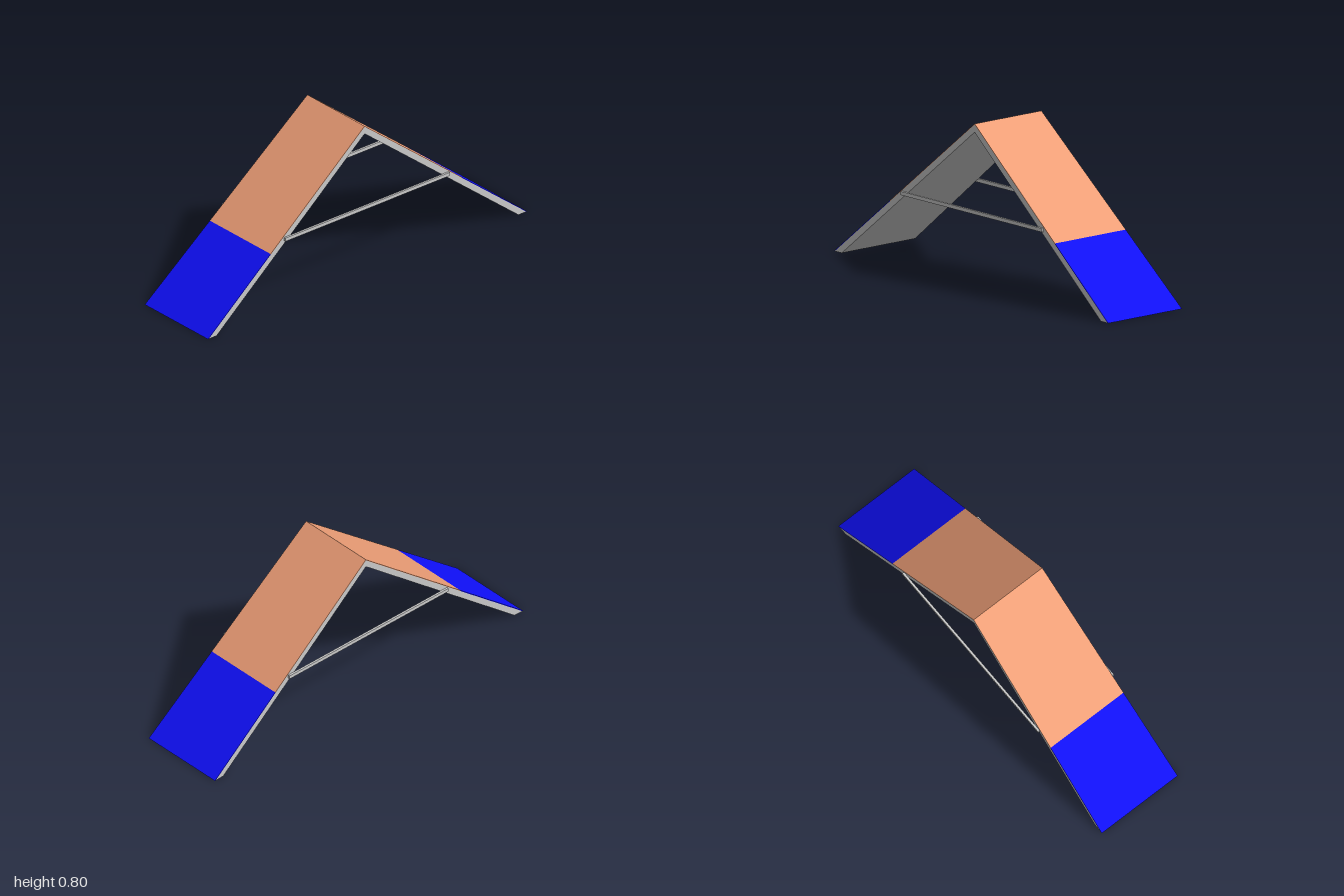
import * as THREE from 'three';

const H = 0.796;    // ridge height
const SKIN = 0.004; // vertical thickness of the coloured surface

// Height of a line parallel to the slope, dropped by d
const slopeY = (x, d = 0) => H * (1 - x) - d;

// Prism from a side profile; its width grows from the ridge to the feet
function taperedPrism(points, material, name) {
  const shape = new THREE.Shape(points.map(([x, y]) => new THREE.Vector2(x, y)));
  const geo = new THREE.ExtrudeGeometry(shape, { depth: 2, bevelEnabled: false });
  geo.translate(0, 0, -1);
  const p = geo.attributes.position;
  for (let i = 0; i < p.count; i++) {
    p.setZ(i, p.getZ(i) * (0.21 + 0.022 * Math.abs(p.getX(i))));
  }
  geo.computeVertexNormals();
  const mesh = new THREE.Mesh(geo, material);
  mesh.name = name;
  return mesh;
}

export function createModel() {
  const group = new THREE.Group();
  group.name = 'aFrameRamp';
  const grey = new THREE.MeshStandardMaterial({ color: 0xcccccc });
  const orange = new THREE.MeshStandardMaterial({ color: 0xef9f77 });
  const blue = new THREE.MeshStandardMaterial({ color: 0x1010ff });

  // Two sloping boards meeting at the ridge, feet cut flat on the ground
  const topFoot = 1 - SKIN / H;
  group.add(taperedPrism([
    [-topFoot, 0], [-0.945, 0], [0, 0.755], [0.945, 0], [topFoot, 0], [0, H - SKIN],
  ], grey, 'rampBoards'));

  // Coloured surfaces: upper slope and contact zone on each side
  for (const [s, side] of [[1, 'left'], [-1, 'right']]) {
    const upper = [[0, H], [0, H - SKIN], [0.6, slopeY(0.6, SKIN)], [0.6, slopeY(0.6)]];
    const lower = [[0.6, slopeY(0.6)], [0.6, slopeY(0.6, SKIN)], [topFoot, 0], [1, 0]];
    const mirror = (pts) => pts.map(([x, y]) => [x * s, y]);
    group.add(taperedPrism(mirror(upper), orange, `${side}UpperSurface`));
    group.add(taperedPrism(mirror(lower), blue, `${side}ContactZone`));
  }

  // Horizontal cross braces along both sides
  for (const [s, name] of [[1, 'frontBrace'], [-1, 'backBrace']]) {
    const brace = new THREE.Mesh(new THREE.BoxGeometry(1.03, 0.018, 0.011), grey);
    brace.position.set(0, 0.369, s * 0.2265);
    brace.name = name;
    group.add(brace);
  }
  return group;
}
